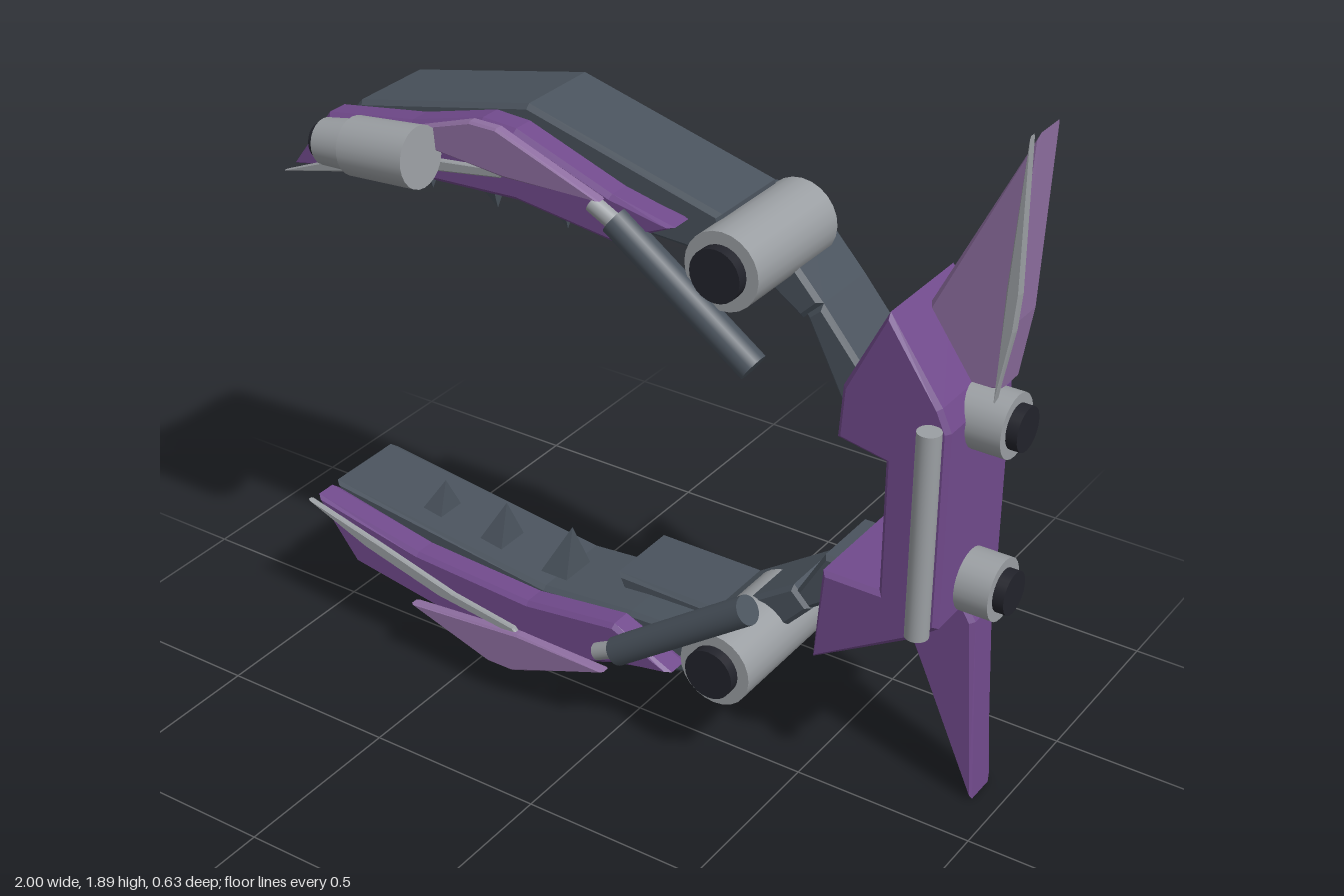
import * as THREE from 'three';

const material = (name, color) => {
  const m = new THREE.MeshStandardMaterial({ color });
  m.name = name;
  return m;
};

export function createModel() {
  const model = new THREE.Group();
  model.name = 'pincerCraft';

  const purple = material('purple', 0x714a8c);
  const lilac = material('lilac', 0x8f6fa1);
  const slate = material('slate', 0x4a535d);
  const steel = material('steel', 0x9b9fa3);
  const black = material('black', 0x22232b);

  const add = (parent, name, geometry, mat) => {
    const mesh = new THREE.Mesh(geometry, mat);
    mesh.name = name;
    parent.add(mesh);
    return mesh;
  };

  // Bevelled plate cut from an outline, between two z planes
  const plate = (parent, name, points, z0, z1, mat, bevel = 0.012) => {
    const shape = new THREE.Shape(points.map(([x, y]) => new THREE.Vector2(x, y)));
    const geometry = new THREE.ExtrudeGeometry(shape, {
      depth: z1 - z0 - 2 * bevel, bevelEnabled: bevel > 0, bevelSize: bevel,
      bevelThickness: bevel, bevelOffset: -bevel, bevelSegments: 1,
    });
    geometry.translate(0, 0, z0 + bevel);
    return add(parent, name, geometry, mat);
  };

  // Round bar from point a to point b, with its own radius at each end
  const bar = (parent, name, a, b, ra, rb, mat) => {
    const from = new THREE.Vector3(...a), to = new THREE.Vector3(...b);
    const dir = to.clone().sub(from);
    const mesh = add(parent, name, new THREE.CylinderGeometry(rb, ra, dir.length(), 24), mat);
    mesh.position.copy(from).lerp(to, 0.5);
    mesh.quaternion.setFromUnitVectors(new THREE.Vector3(0, 1, 0), dir.normalize());
    return mesh;
  };

  // Both jaws share one layout, mirrored about y = 0.9
  const jaw = (side) => {
    const group = new THREE.Group();
    const upper = side === 'upper';
    group.name = side + 'Jaw';
    model.add(group);
    const fy = (y) => (upper ? y : 1.8 - y);
    const flip = (points) => points.map(([x, y]) => [x, fy(y)]);

    plate(group, 'jawBeam', flip([[-1, 1.4], [-0.83, 1.595], [-0.3, 1.712], [0.26, 1.565],
      [0.27, 1.45], [0, 1.46], [-0.28, 1.485]]), -0.21, 0.05, slate);
    plate(group, 'jawArmor', flip([[-1, 1.405], [-0.87, 1.58], [-0.6, 1.625], [-0.38, 1.685],
      [-0.28, 1.68], [0, 1.58], [0.18, 1.54], [0, 1.455], [-0.28, 1.49], [-0.65, 1.47]]),
      0.05, 0.13, purple);
    plate(group, 'jawCrest', flip([[-0.64, 1.605], [-0.38, 1.694], [-0.3, 1.694], [0, 1.58],
      [-0.28, 1.57]]), 0.145, 0.177, lilac, 0.006);
    plate(group, 'jawBlade', flip([[-1, 1.4], [-0.8, 1.485], [-0.55, 1.553], [-0.28, 1.585],
      [-0.3, 1.56], [-0.5, 1.528], [-0.75, 1.46]]), 0.148, 0.166, steel, 0.004);
    plate(group, 'innerPad', flip([[-0.11, 1.432], [-0.08, 1.5], [0.2, 1.52], [0.2, 1.432]]),
      -0.29, -0.05, slate);
    plate(group, 'armLink', flip([[0.19, 1.44], [0.42, 1.285], [0.475, 1.34], [0.3, 1.53],
      [0.2, 1.52]]), -0.29, -0.07, slate);
    plate(group, 'wristLink', upper
      ? [[0.43, 1.3], [0.475, 1.34], [0.61, 1.18], [0.66, 1.03], [0.57, 1.03]]
      : [[0.43, 0.5], [0.47, 0.46], [0.6, 0.55], [0.6, 0.64], [0.51, 0.64]],
      -0.29, -0.07, slate);

    // Leaning teeth: four-sided spikes sheared towards the hinge
    for (const [x, y] of [[-0.715, 1.46], [-0.505, 1.472], [-0.285, 1.48]]) {
      const height = y - 1.345;
      const spike = new THREE.ConeGeometry(0.06, height, 4).toNonIndexed();
      spike.rotateY(Math.PI / 4);
      spike.scale(1, 1, 1.3);
      if (upper) spike.rotateX(Math.PI);
      const p = spike.attributes.position;
      for (let i = 0; i < p.count; i++) {
        const t = 0.5 + (upper ? -1 : 1) * p.getY(i) / height;
        p.setX(i, p.getX(i) + 0.025 * t);
      }
      spike.computeVertexNormals();
      add(group, 'tooth', spike, slate).position.set(x, fy(y - height / 2), -0.06);
    }

    // Hinge drum and the ram beside it
    bar(group, 'hingeDrum', [0.317, fy(1.468), -0.23], [0.317, fy(1.468), 0.13], 0.103, 0.103, steel);
    bar(group, 'hingeCap', [0.317, fy(1.468), 0.12], [0.317, fy(1.468), 0.16], 0.07, 0.07, black);
    bar(group, 'ramSleeve', [0.02, fy(1.525), 0.135], [0.415, fy(1.245), 0.135], 0.04, 0.04, slate);
    bar(group, 'ramRod', [-0.045, fy(1.552), 0.135], [0.06, fy(1.497), 0.135], 0.024, 0.024, steel);
  };
  jaw('upper');
  jaw('lower');

  // Pods: a large one on the upper jaw, a small one under the lower jaw
  bar(model, 'largePodBody', [-0.69, 1.575, 0.235], [-0.485, 1.595, 0.235], 0.076, 0.08, steel);
  bar(model, 'largePodNose', [-0.785, 1.563, 0.235], [-0.68, 1.576, 0.235], 0.06, 0.067, steel);
  bar(model, 'largePodMuzzle', [-0.805, 1.56, 0.235], [-0.78, 1.564, 0.235], 0.046, 0.05, black);
  bar(model, 'smallPodBody', [-0.64, 0.066, -0.115], [-0.435, 0.1, -0.115], 0.041, 0.041, steel);
  bar(model, 'smallPodMuzzle', [-0.658, 0.063, -0.115], [-0.63, 0.068, -0.115], 0.03, 0.03, black);

  // Rear body with its fins
  plate(model, 'body', [[0.7, 1.42], [0.85, 1.21], [0.877, 1.15], [0.877, 0.6], [0.8, 0.54],
    [0.53, 0.383], [0.55, 0.652], [0.71, 0.652], [0.71, 1.02], [0.575, 1.045], [0.585, 1.19]],
    -0.315, 0.012, purple);
  plate(model, 'upperFin', [[0.969, 1.88], [0.95, 1.4], [0.92, 1.21], [0.8, 1.15], [0.71, 1.36]],
    -0.255, -0.145, lilac);
  plate(model, 'lowerFin', [[0.928, 0], [0.9, 0.54], [0.85, 0.62], [0.76, 0.62], [0.7, 0.485]],
    -0.255, -0.145, purple);
  plate(model, 'finBlade', [[0.97, 1.892], [0.976, 1.5], [0.968, 1.4], [0.93, 1.2], [0.94, 1.5]],
    -0.121, -0.097, steel, 0.005);
  bar(model, 'spineRod', [0.84, 0.59, 0.042], [0.84, 1.165, 0.042], 0.031, 0.031, steel);

  // Thrusters
  for (const y of [1.13, 0.667]) {
    bar(model, 'thruster', [0.82, y, -0.15], [0.97, y, -0.15], 0.084, 0.084, steel);
    bar(model, 'thrusterNozzle', [0.96, y, -0.15], [1, y, -0.15], 0.058, 0.058, black);
  }
  return model;
}
